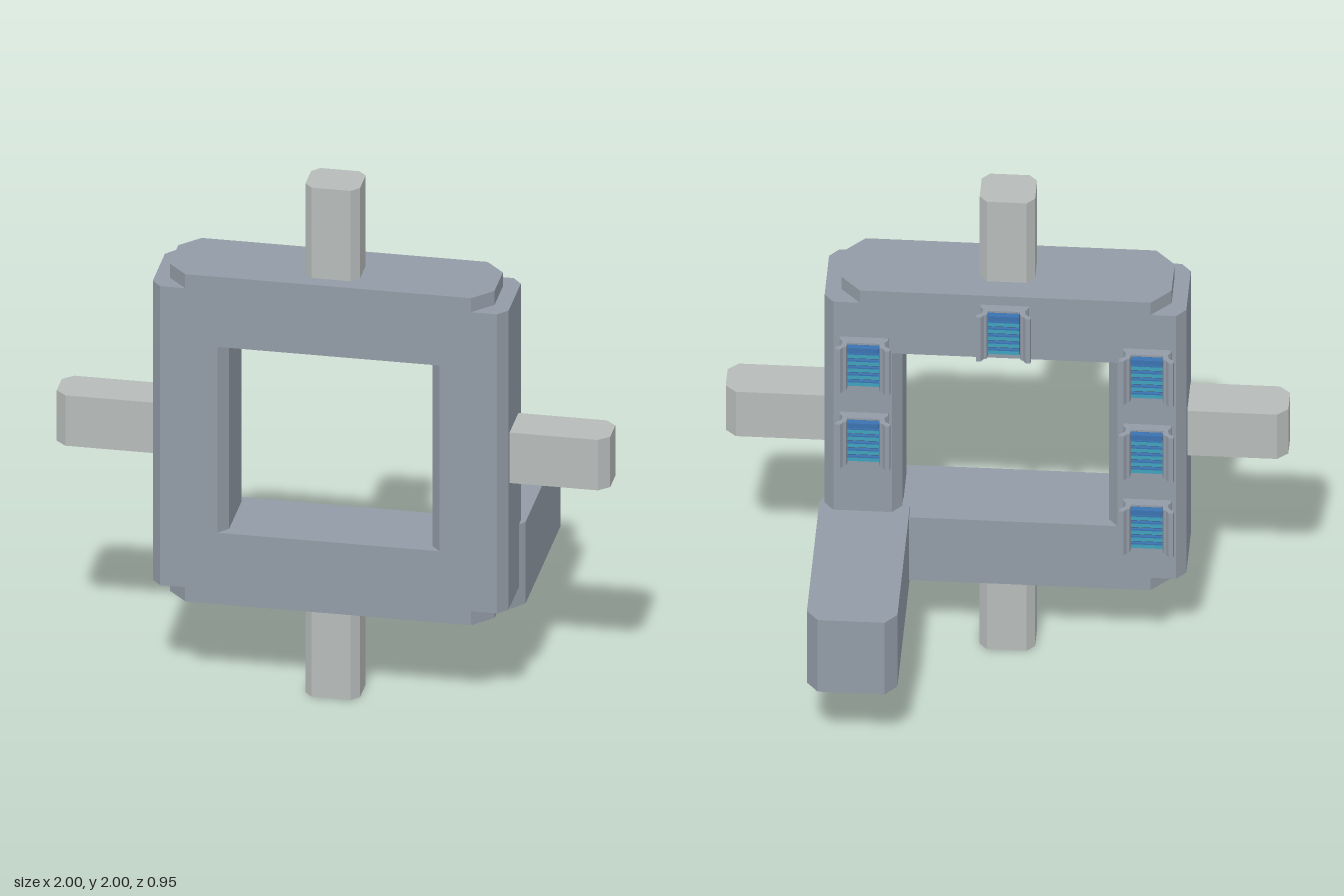
import * as THREE from 'three';

const mat = (name, color) => {
  const m = new THREE.MeshStandardMaterial({ color });
  m.name = name;
  return m;
};

// Upright prism: plan outline given as [x, z] points, raised from y0 to y1
function prism(plan, y0, y1) {
  const shape = new THREE.Shape(plan.map(([x, z]) => new THREE.Vector2(x, -z)));
  const g = new THREE.ExtrudeGeometry(shape, { depth: y1 - y0, bevelEnabled: false });
  g.rotateX(-Math.PI / 2);
  return g.translate(0, y0, 0);
}

// Rectangle plan with cut corners
function cutRect(x0, x1, z0, z1, cx, cz) {
  return [
    [x0 + cx, z0], [x1 - cx, z0], [x1, z0 + cz], [x1, z1 - cz],
    [x1 - cx, z1], [x0 + cx, z1], [x0, z1 - cz], [x0, z0 + cz],
  ];
}

export function createModel() {
  const slate = mat('slate grey', 0x929ba6);
  const pale = mat('pale grey', 0xb6bbba);
  const blue = mat('deep blue', 0x3a72b0);
  const teal = mat('teal', 0x3fa3bd);
  const dark = mat('dark slate', 0x4a525b);

  const model = new THREE.Group();
  const add = (parent, name, geometry, material) => {
    const m = new THREE.Mesh(geometry, material);
    m.name = name;
    parent.add(m);
    return m;
  };

  // Square frame: two uprights and two crossbars with cut corners
  for (const [side, s] of [['left', 1], ['right', -1]]) {
    const xs = [s * 0.367, s * 0.643].sort((a, b) => a - b);
    add(model, side + 'Upright', prism(cutRect(xs[0], xs[1], 0.17, 0.475, 0.034, 0.04), 0.415, 1.59), slate);
  }
  const bar = cutRect(-0.588, 0.585, 0.17, 0.475, 0.07, 0.075);
  add(model, 'topCrossbar', prism(bar, 1.37, 1.645), slate);
  add(model, 'bottomCrossbar', prism(bar, 0.36, 0.64), slate);

  // Arm reaching back from the lower left corner
  add(model, 'rearArm', prism(cutRect(0.34, 0.662, -0.475, 0.27, 0.042, 0.05), 0.34, 0.66), slate);

  // Pale pegs on the four sides
  const post = cutRect(-0.1, 0.097, 0.255, 0.42, 0.028, 0.03);
  add(model, 'topPeg', prism(post, 1.5, 2), pale);
  add(model, 'bottomPeg', prism(post, 0, 0.5), pale);
  add(model, 'leftPeg', prism(cutRect(0.5, 1, 0.255, 0.42, 0.038, 0.035), 0.905, 1.103), pale);
  add(model, 'rightPeg', prism(cutRect(-1, -0.5, 0.255, 0.42, 0.038, 0.035), 0.905, 1.103), pale);

  // Flared sockets on the back, each with a slatted panel in its channel
  const half = [
    [0.086, 0.175], [0.086, 0.157], [0.074, 0.142], [0.078, 0.122], [0.098, 0.107],
    [0.096, 0.094], [0.08, 0.094], [0.07, 0.108], [0.06, 0.112], [0.056, 0.136],
  ];
  const outline = [...half, ...half.map(([x, z]) => [-x, z]).reverse()];
  const H = 0.098;
  const sockets = [
    [0, 1.507], [0.5, 1.338], [0.5, 1.002], [-0.508, 1.338], [-0.508, 1.002], [-0.508, 0.667],
  ];
  sockets.forEach(([x, y], i) => {
    const socket = new THREE.Group();
    socket.name = 'socket' + (i + 1);
    socket.position.set(x, y, 0);
    add(socket, 'socketBody', prism(outline, -H, H), slate);
    add(socket, 'socketPanel', new THREE.BoxGeometry(0.112, 0.18, 0.006).translate(0, 0, 0.134), dark);
    add(socket, 'socketCap', new THREE.BoxGeometry(0.112, 0.02, 0.022).translate(0, 0.082, 0.122), blue);
    for (let k = 0; k < 5; k++) {
      const slatY = 0.05 - k * 0.031;
      add(socket, 'slat', new THREE.BoxGeometry(0.112, 0.017, 0.012).translate(0, slatY, 0.126), teal);
      add(socket, 'slatEdge', new THREE.BoxGeometry(0.112, 0.005, 0.013).translate(0, slatY + 0.01, 0.126), blue);
    }
    model.add(socket);
  });

  return model;
}
